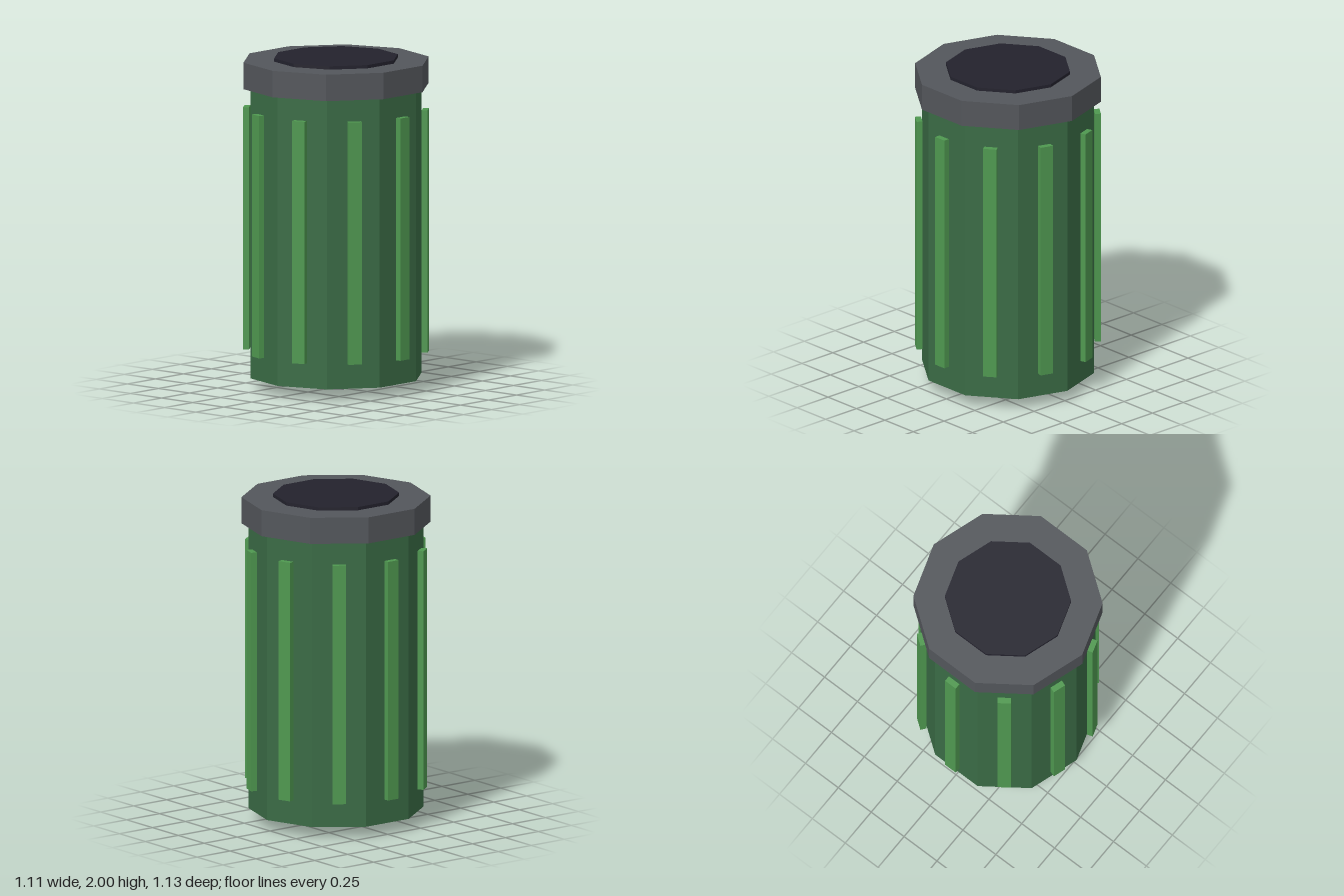
import * as THREE from 'three';

const flat = (name, color) => {
  const m = new THREE.MeshStandardMaterial({ color });
  m.name = name;
  return m;
};

export function createModel() {
  const group = new THREE.Group();
  group.name = 'ribbedCanister';
  const green = flat('dark green', 0x3a6b45);
  const lightGreen = flat('light green', 0x4f9850);
  const grey = flat('grey', 0x53565b);
  const black = flat('near black', 0x23222d);

  // Upright faceted prism between two heights
  const prism = (name, radius, y0, y1, sides, material) => {
    const geometry = new THREE.CylinderGeometry(radius, radius, y1 - y0, sides).toNonIndexed();
    geometry.computeVertexNormals();
    const mesh = new THREE.Mesh(geometry, material);
    mesh.name = name;
    mesh.position.y = (y0 + y1) / 2;
    group.add(mesh);
  };

  prism('foot', 0.105, 0, 0.07, 6, grey);
  prism('body', 0.522, 0.07, 1.82, 10, green);
  prism('rim', 0.565, 1.82, 1.98, 10, grey);
  prism('lid', 0.377, 1.98, 2, 10, black);

  // Ten slats standing just off the body, one per face
  const slatGeometry = new THREE.BoxGeometry(0.036, 1.465, 0.081);
  for (let i = 0; i < 10; i++) {
    const angle = (i * Math.PI) / 5;
    const slat = new THREE.Mesh(slatGeometry, lightGreen);
    slat.name = `slat${i + 1}`;
    slat.position.set(Math.cos(angle) * 0.536, 0.956, -Math.sin(angle) * 0.536);
    slat.rotation.y = angle;
    group.add(slat);
  }
  return group;
}
